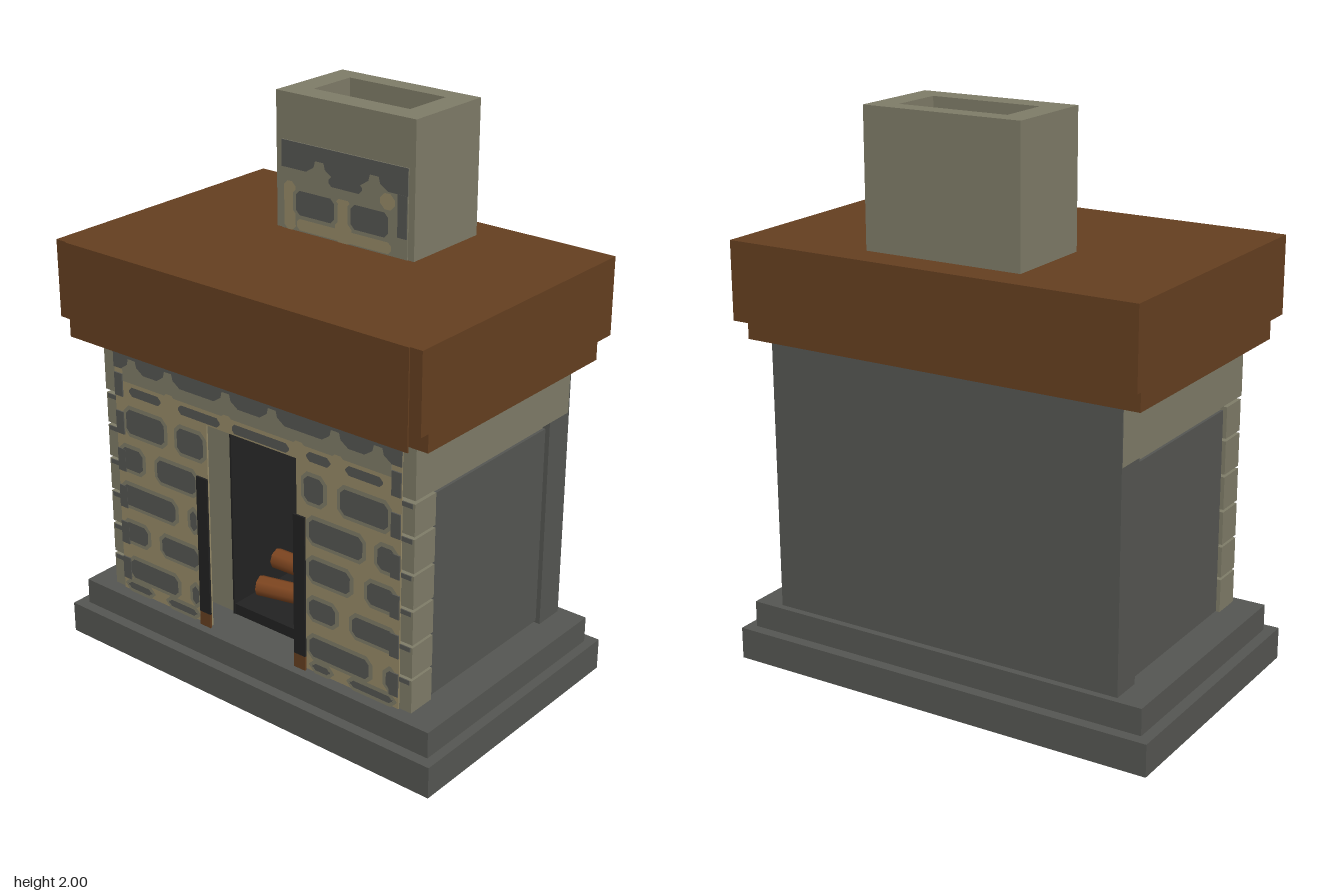
import * as THREE from 'three';

const mat = (name, color, side = THREE.FrontSide) => {
  const m = new THREE.MeshStandardMaterial({ color, side });
  m.name = name;
  return m;
};

export function createModel() {
  const root = new THREE.Group();
  root.name = 'fireplace';
  const slate = mat('slate', 0x555652);
  const stone = mat('paleStone', 0x7f7c68);
  const mortar = mat('mortar', 0x978b68);
  const wood = mat('mantelWood', 0x653f20);
  const soot = mat('soot', 0x222222);
  const bark = mat('logWood', 0x7d4520);

  const add = (name, geometry, material, parent = root) => {
    const mesh = new THREE.Mesh(geometry, material);
    mesh.name = name;
    parent.add(mesh);
    return mesh;
  };
  // box given by its limits on each axis
  const box = (name, m, x0, x1, y0, y1, z0, z1, parent) => {
    const g = new THREE.BoxGeometry(x1 - x0, y1 - y0, z1 - z0);
    g.translate((x0 + x1) / 2, (y0 + y1) / 2, (z0 + z1) / 2);
    return add(name, g, m, parent);
  };
  const outline = pts => new THREE.Shape(pts.map(p => new THREE.Vector2(p[0], p[1])));
  // thin flat patch facing the front
  const patch = (name, m, pts, z, parent) => {
    const mesh = add(name, new THREE.ShapeGeometry(outline(pts)), m, parent);
    mesh.position.z = z;
    return mesh;
  };
  const chamfered = (x0, x1, y0, y1, c) => [
    [x0 + c, y0], [x1 - c, y0], [x1, y0 + c], [x1, y1 - c],
    [x1 - c, y1], [x0 + c, y1], [x0, y1 - c], [x0, y0 + c]];
  // dark stone with a pale rim
  const rimmedStone = (x0, x1, y0, y1, z, parent) => {
    const r = 0.014;
    patch('stoneRim', stone, chamfered(x0 - r, x1 + r, y0 - r, y1 + r, 0.025), z, parent);
    patch('stoneFace', slate, chamfered(x0, x1, y0, y1, 0.016), z + 0.002, parent);
  };
  const peak = (x, y, w, h) => [[x - w, y], [x + w, y], [x + w * 0.4, y + h * 0.5],
    [x + w * 0.3, y + h], [x - w * 0.3, y + h], [x - w * 0.4, y + h * 0.5]];

  // stepped base
  box('lowerBase', slate, -0.81, 0.805, 0, 0.115, -0.5, 0.5);
  box('upperBase', slate, -0.77, 0.77, 0.115, 0.21, -0.46, 0.46);

  // back wall, lintel and side walls
  box('backWall', slate, -0.67, 0.67, 0.21, 0.98, -0.435, -0.32);
  box('upperBackWall', slate, -0.67, 0.67, 0.98, 1.18, -0.435, -0.43);
  box('lintel', stone, -0.67, 0.67, 0.98, 1.18, -0.43, 0.415);
  for (const s of [-1, 1]) {
    const side = new THREE.Group();
    side.name = s > 0 ? 'leftSide' : 'rightSide';
    root.add(side);
    const sb = (name, m, a, b, ...rest) =>
      box(name, m, Math.min(s * a, s * b), Math.max(s * a, s * b), ...rest, side);
    sb('sideCore', stone, 0.2, 0.645, 0.22, 0.967, -0.315, 0.303);
    sb('sidePanel', slate, 0.645, 0.655, 0.22, 0.955, -0.318, 0.305);
    sb('fireboxLiner', soot, 0.193, 0.2, 0.21, 0.967, -0.315, 0.303);
    // corner stones with open joints
    const joints = [0.212, 0.342, 0.464, 0.593, 0.721, 0.85, 0.972];
    for (let i = 0; i < 6; i++) {
      sb('cornerStone', stone, 0.6, 0.668, joints[i] + 0.005, joints[i + 1] - 0.005, 0.307, 0.414);
      sb('cornerChip', slate, 0.62, 0.66, joints[i + 1] - 0.022, joints[i + 1] - 0.006, 0.414, 0.417);
    }
    // opening frame
    sb('openingPost', soot, 0.19, 0.238, 0.265, 0.785, 0.424, 0.431);
    sb('postFoot', wood, 0.19, 0.238, 0.212, 0.265, 0.424, 0.431);
  }

  // firebox interior
  box('fireboxBack', soot, -0.2, 0.2, 0.21, 0.98, -0.318, -0.308);
  box('fireboxCeiling', soot, -0.2, 0.2, 0.975, 0.982, -0.31, 0.41);
  box('fireboxFloor', soot, -0.193, 0.193, 0.21, 0.25, -0.31, 0.3);

  // logs
  const log = (x, y, z, length, yaw, r) => {
    const g = new THREE.CylinderGeometry(r, r, length, 8);
    g.rotateZ(Math.PI / 2);
    g.rotateY(yaw);
    add('log', g, bark).position.set(x, y, z);
  };
  log(0, 0.292, 0.16, 0.34, 0.25, 0.037);
  log(0, 0.29, 0.03, 0.34, -0.2, 0.037);
  log(0, 0.345, 0.08, 0.37, 0.04, 0.037);

  // stone front with the opening cut out
  const front = new THREE.Group();
  front.name = 'stoneFront';
  root.add(front);
  const wallShape = outline([[-0.62, 0.215], [-0.195, 0.215], [-0.195, 0.98], [0.195, 0.98],
    [0.195, 0.215], [0.62, 0.215], [0.62, 1.18], [-0.62, 1.18]]);
  const wall = new THREE.ExtrudeGeometry(wallShape, { depth: 0.006, bevelEnabled: false });
  add('mortarWall', wall, mortar, front).position.z = 0.412;

  const rows = [
    [0.225, 0.25, [[-0.6, -0.48], [-0.4, -0.26], [0.26, 0.34], [0.42, 0.6]]],
    [0.275, 0.348, [[-0.58, -0.35], [-0.28, -0.25], [0.25, 0.5], [0.57, 0.6]]],
    [0.42, 0.492, [[-0.6, -0.49], [-0.42, -0.25], [0.25, 0.36], [0.43, 0.6]]],
    [0.562, 0.64, [[-0.6, -0.35], [-0.28, -0.25], [0.25, 0.42], [0.49, 0.6]]],
    [0.703, 0.785, [[-0.6, -0.5], [-0.43, -0.25], [0.25, 0.47], [0.53, 0.6]]],
    [0.845, 0.935, [[-0.57, -0.39], [-0.33, -0.21], [0.23, 0.31], [0.38, 0.57]]]];
  for (const [y0, y1, spans] of rows)
    for (const [x0, x1] of spans) rimmedStone(x0, x1, y0, y1, 0.42, front);
  // dark edge strips
  for (const s of [-1, 1])
    for (let y = 0.26; y < 1.05; y += 0.143)
      box('edgeChip', slate, s * 0.6 - 0.018, s * 0.6 + 0.018, y, y + 0.085, 0.418, 0.423, front);

  // upper courses: pale band, dark band with peaks, sooty scallops
  box('paleBand', stone, -0.58, 0.58, 1.035, 1.09, 0.418, 0.42, front);
  box('darkBand', slate, -0.62, 0.62, 1.08, 1.18, 0.418, 0.422, front);
  for (const x of [-0.53, -0.36, -0.1, 0.1, 0.36, 0.53])
    patch('palePeak', stone, peak(x, 1.08, 0.055, 0.045), 0.424, front);
  for (const [x0, x1] of [[-0.55, -0.4], [-0.32, -0.13], [-0.08, 0.17], [0.24, 0.34], [0.4, 0.55]])
    patch('upperStone', slate, chamfered(x0, x1, 0.988, 1.022, 0.014), 0.422, front);
  for (const x of [-0.36, -0.1, 0.21, 0.37])
    patch('mortarJoint', mortar, chamfered(x - 0.025, x + 0.025, 0.985, 1.045, 0.012), 0.423, front);
  box('sootStrip', soot, -0.62, 0.62, 1.163, 1.18, 0.418, 0.424, front);
  for (const x of [-0.6, -0.4, -0.03, 0.13, 0.27, 0.6])
    patch('sootScallop', soot, chamfered(x - 0.03, x + 0.03, 1.145, 1.17, 0.012), 0.425, front);

  // mantel with a thin front board
  box('mantelMoulding', wood, -0.745, 0.745, 1.18, 1.255, -0.465, 0.46);
  box('mantelTop', wood, -0.762, 0.76, 1.255, 1.53, -0.52, 0.517);
  box('mantelBoard', wood, -0.715, 0.715, 1.195, 1.53, 0.517, 0.522);

  // hollow chimney
  const rect = (x, z0, z1) => [[-x, z0], [x, z0], [x, z1], [-x, z1]];
  const flue = outline(rect(0.29, 0.06, 0.405));
  flue.holes.push(new THREE.Path(rect(0.2, 0.145, 0.335).map(p => new THREE.Vector2(...p))));
  const chimney = new THREE.ExtrudeGeometry(flue, { depth: 0.47, bevelEnabled: false });
  chimney.rotateX(-Math.PI / 2);
  add('chimney', chimney, stone).position.y = 1.53;
  box('flueFloor', soot, -0.2, 0.2, 1.53, 1.54, -0.335, -0.145);

  // chimney stonework
  const face = new THREE.Group();
  face.name = 'chimneyStonework';
  face.position.z = -0.06;
  root.add(face);
  box('chimneyPanel', stone, -0.265, 0.265, 1.53, 1.838, 0, 0.003, face);
  box('chimneyDarkBand', slate, -0.265, 0.265, 1.745, 1.838, 0.003, 0.005, face);
  for (const x of [-0.1, 0.13])
    patch('chimneyPeak', stone, peak(x, 1.744, 0.06, 0.045), 0.007, face);
  patch('chimneyMortar', mortar, chamfered(-0.255, -0.205, 1.53, 1.7, 0.015), 0.005, face);
  patch('chimneyMortar', mortar, chamfered(-0.035, 0.035, 1.53, 1.68, 0.015), 0.005, face);
  patch('chimneyMortar', mortar, chamfered(0.155, 0.215, 1.685, 1.74, 0.018), 0.007, face);
  patch('chimneyMortar', mortar, chamfered(-0.2, 0.2, 1.535, 1.575, 0.012), 0.005, face);
  rimmedStone(-0.2, -0.035, 1.59, 1.675, 0.007, face);
  rimmedStone(0.035, 0.19, 1.59, 1.675, 0.007, face);
  box('chimneyEdgeStone', slate, 0.225, 0.262, 1.6, 1.745, 0.003, 0.006, face);
  patch('chimneyBandStone', slate, chamfered(-0.06, 0.08, 1.715, 1.75, 0.012), 0.008, face);

  return root;
}
